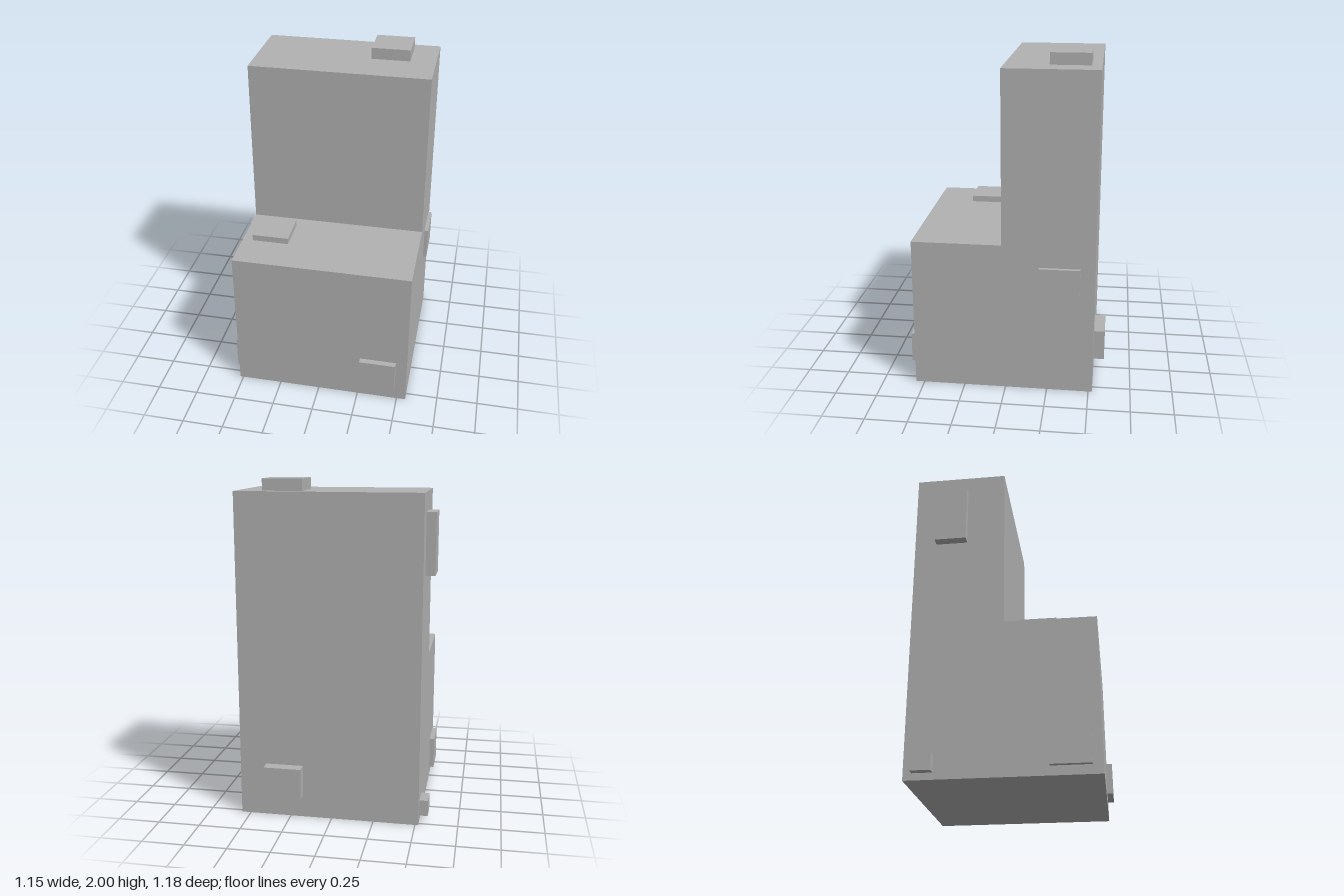
import * as THREE from 'three';

const grey = new THREE.MeshStandardMaterial({ color: 0xb2b2b2 });
grey.name = 'plain grey';

// Main body extents
const LEFT = 0.555, RIGHT = -0.52, FRONT = 0.552, BACK = -0.523;
const STEP_Z = 0.021, STEP_Y = 0.915, TOP = 1.932;

// Axis-aligned block from its [min, max] ranges
function block(name, [x0, x1], [y0, y1], [z0, z1]) {
  const mesh = new THREE.Mesh(new THREE.BoxGeometry(x1 - x0, y1 - y0, z1 - z0), grey);
  mesh.position.set((x0 + x1) / 2, (y0 + y1) / 2, (z0 + z1) / 2);
  mesh.name = name;
  return mesh;
}

// L-shaped side profile (z, y) extruded across the width
function steppedBody() {
  const profile = new THREE.Shape([
    [BACK, 0], [FRONT, 0], [FRONT, STEP_Y], [STEP_Z, STEP_Y], [STEP_Z, TOP], [BACK, TOP],
  ].map(([z, y]) => new THREE.Vector2(z, y)));
  const geometry = new THREE.ExtrudeGeometry(profile, { depth: LEFT - RIGHT, bevelEnabled: false });
  geometry.rotateY(-Math.PI / 2).translate(LEFT, 0, 0);
  const mesh = new THREE.Mesh(geometry, grey);
  mesh.name = 'steppedBody';
  return mesh;
}

export function createModel() {
  const group = new THREE.Group();
  group.name = 'steppedBlock';
  group.add(
    steppedBody(),
    // Raised pads on the horizontal faces
    block('topPad', [0.17, 0.402], [TOP, 2], [-0.465, -0.233]),
    block('stepPad', [-0.456, -0.233], [STEP_Y, 0.953], [0.095, 0.317]),
    // Raised pads on the front and back
    block('frontPad', [0.263, 0.486], [0.102, 0.287], [FRONT, 0.588]),
    block('backPad', [0.173, 0.397], [0.137, 0.323], [-0.588, BACK]),
    // Raised pads on the two sides
    block('leftPad', [LEFT, 0.577], [0.584, 0.788], [-0.436, -0.196]),
    block('rightTallPad', [-0.577, RIGHT], [1.463, 1.82], [-0.393, -0.204]),
    block('rightFrontPad', [-0.549, RIGHT], [0.054, 0.254], [0.267, 0.494]),
    block('rightBackPad', [-0.571, RIGHT], [0.04, 0.136], [-0.475, -0.36]),
  );
  return group;
}
